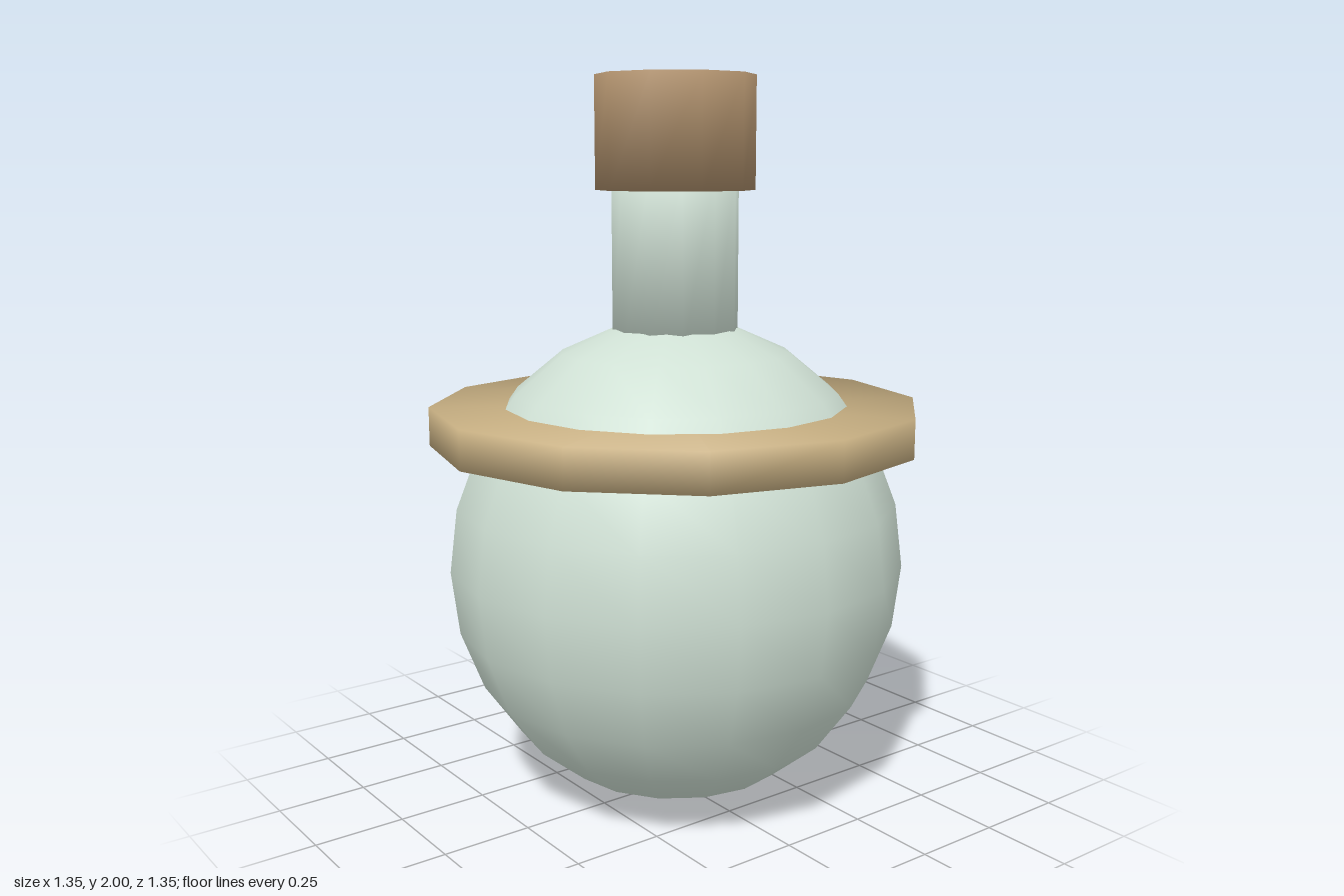
import * as THREE from 'three';
import { mergeVertices } from 'three/addons/utils/BufferGeometryUtils.js';

const glass = new THREE.MeshStandardMaterial({ name: 'pale green glass', color: 0xcfe0d4 });
const rope = new THREE.MeshStandardMaterial({ name: 'tan collar', color: 0xc8b083 });
const corkBrown = new THREE.MeshStandardMaterial({ name: 'cork brown', color: 0xaa8c69 });

// Closed low-poly cylinder whose normals run smoothly over the rims
function softCylinder(name, radius, bottom, top, sides, material) {
  let g = new THREE.CylinderGeometry(radius, radius, top - bottom, sides);
  g.deleteAttribute('uv');
  g.deleteAttribute('normal');
  g = mergeVertices(g, 1e-4);
  const p = g.attributes.position;
  const normals = new Float32Array(p.count * 3);
  const n = new THREE.Vector3();
  for (let i = 0; i < p.count; i++) {
    n.set(p.getX(i) / radius, Math.sign(p.getY(i)) * 0.86, p.getZ(i) / radius).normalize();
    n.toArray(normals, i * 3);
  }
  g.setAttribute('normal', new THREE.BufferAttribute(normals, 3));
  const mesh = new THREE.Mesh(g, material);
  mesh.name = name;
  mesh.position.y = (bottom + top) / 2;
  return mesh;
}

export function createModel() {
  const bottle = new THREE.Group();
  bottle.name = 'bottle';

  // Round body, slightly taller than wide
  const body = new THREE.Mesh(new THREE.SphereGeometry(1, 16, 12), glass);
  body.name = 'body';
  body.geometry.scale(0.63, 0.675, 0.63);
  body.position.y = 0.68;
  bottle.add(body);

  // Neck, flat collar around the shoulder, and stopper
  bottle.add(
    softCylinder('neck', 0.172, 1.28, 1.76, 12, glass),
    softCylinder('collar', 0.673, 1.017, 1.123, 12, rope),
    softCylinder('cork', 0.215, 1.7, 2, 10, corkBrown),
  );
  return bottle;
}
